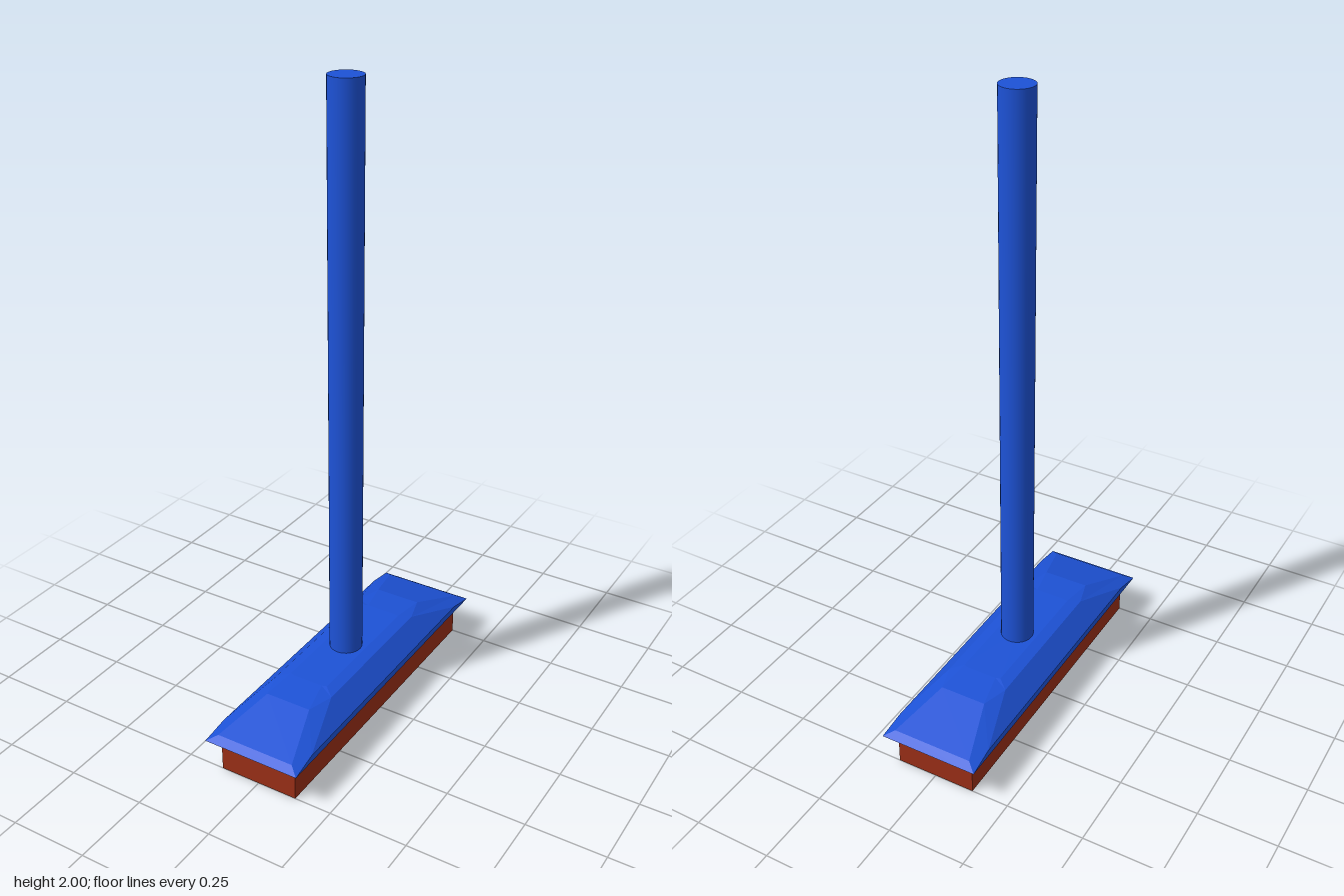
import * as THREE from 'three';

const BLUE = new THREE.MeshStandardMaterial({ color: 0x1d52d6 });
const BLUE_FLAT = new THREE.MeshStandardMaterial({ color: 0x1d52d6, flatShading: true });
const RED = new THREE.MeshStandardMaterial({ color: 0x992e16, flatShading: true });

function addMesh(group, name, geometry, material) {
  const mesh = new THREE.Mesh(geometry, material);
  mesh.name = name;
  group.add(mesh);
  return mesh;
}

// Closed rectangle centred on (cx, cy)
function rectangle(PathType, cx, cy, w, h) {
  return new PathType([[-1, -1], [1, -1], [1, 1], [-1, 1]].map(
    ([sx, sy]) => new THREE.Vector2(cx + sx * w / 2, cy + sy * h / 2)));
}

// Faceted head: eight-sided rings lofted upward, capped at both ends
function headGeometry() {
  // height, long side (x, z), short end (x, z), height of the ends
  const rings = [
    { y: 0.08, side: [0.13, 0.50], end: [0.13, 0.50] },
    { y: 0.118, side: [0.16, 0.54], end: [0.16, 0.54] },
    { y: 0.135, side: [0.157, 0.45], end: [0.13, 0.515] },
    { y: 0.19, side: [0.10, 0.25], end: [0.075, 0.335] },
    { y: 0.198, side: [0.065, 0.22], end: [0.05, 0.225] },
  ].map(({ y, side: [a, c], end: [b, d] }) => [
    [a, -c], [a, c], [b, d], [-b, d], [-a, c], [-a, -c], [-b, -d], [b, -d],
  ].map(([x, z]) => [x, y, z]));

  const positions = [];
  const tri = (...points) => points.forEach((p) => positions.push(...p));
  const bottom = rings[0];
  const top = rings[rings.length - 1];
  for (let i = 0; i < 8; i++) {
    const j = (i + 1) % 8;
    for (let r = 0; r + 1 < rings.length; r++) {
      const lo = rings[r];
      const hi = rings[r + 1];
      tri(lo[i], hi[i], hi[j]);
      tri(lo[i], hi[j], lo[j]);
    }
    tri([0, top[0][1], 0], top[j], top[i]);
    tri([0, bottom[0][1], 0], bottom[i], bottom[j]);
  }
  const geometry = new THREE.BufferGeometry();
  geometry.setAttribute('position', new THREE.Float32BufferAttribute(positions, 3));
  geometry.computeVertexNormals();
  return geometry;
}

export function createModel() {
  const model = new THREE.Group();
  model.name = 'pushBroom';

  // Bristle block with two long slots open underneath
  const block = rectangle(THREE.Shape, 0, 0, 0.26, 1.0);
  for (const s of [-1, 1]) block.holes.push(rectangle(THREE.Path, s * 0.05, 0, 0.07, 0.91));
  const bristles = new THREE.ExtrudeGeometry(block, { depth: 0.08, bevelEnabled: false });
  bristles.rotateX(-Math.PI / 2);
  addMesh(model, 'bristleBlock', bristles, RED);

  addMesh(model, 'head', headGeometry(), BLUE_FLAT);

  // Straight round handle
  const handle = addMesh(model, 'handle', new THREE.CylinderGeometry(0.052, 0.052, 1.82, 32), BLUE);
  handle.position.y = 1.09;

  return model;
}
